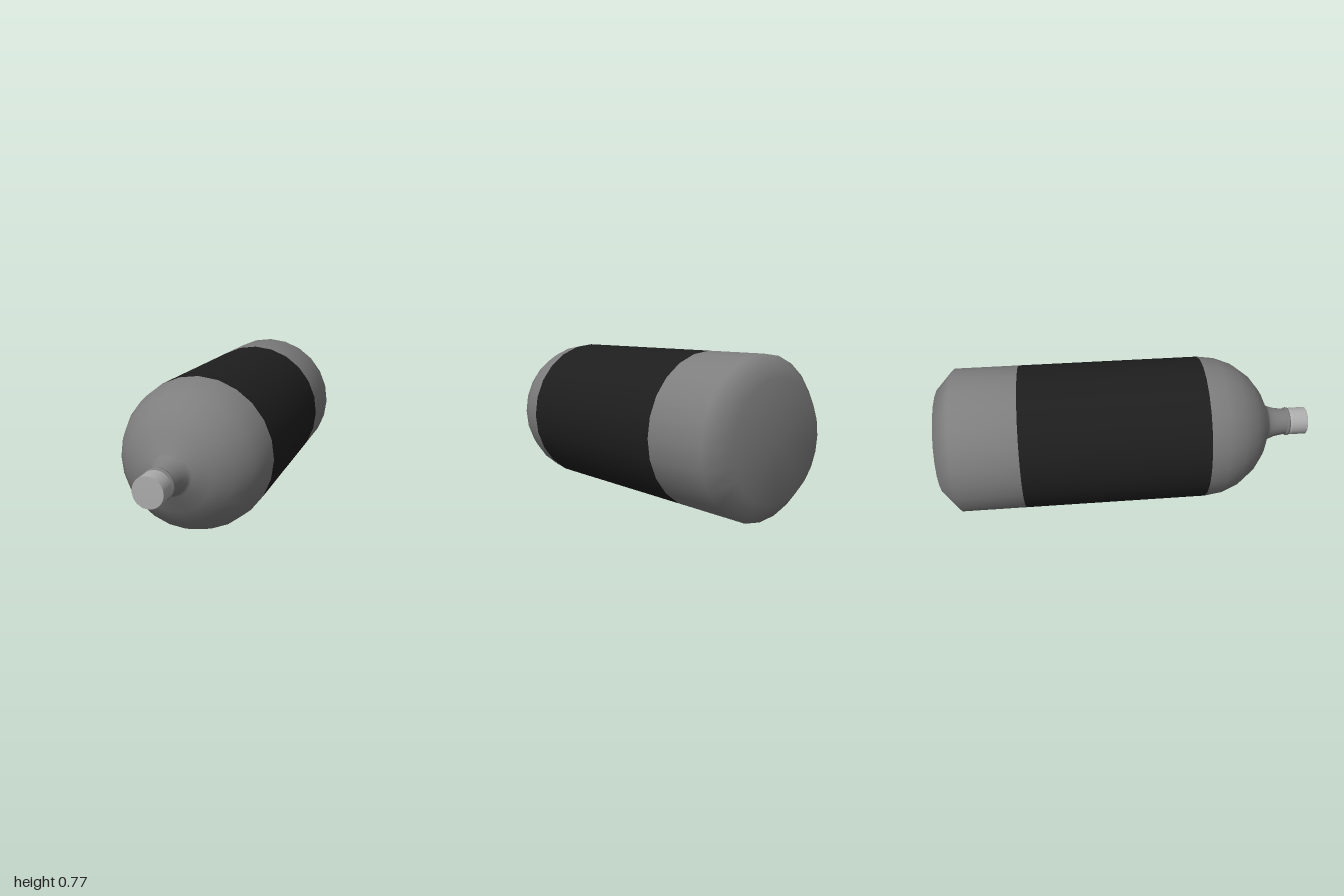
import * as THREE from 'three';

const RADIUS = 0.386;
const BODY_GREY = 0x7e7e7e;
const CAP_GREY = 0xacacac;
const LABEL_BLACK = 0x1e1e1e;

export function createModel() {
  const bottle = new THREE.Group();
  bottle.name = 'bottle';

  // Revolve a [radius, z] profile (back to front) around the z axis
  function addRevolved(name, profile, color, sides = 24) {
    const points = profile.map(([r, z]) => new THREE.Vector2(r, z));
    const geometry = new THREE.LatheGeometry(points, sides).rotateX(Math.PI / 2);
    const material = new THREE.MeshStandardMaterial({ color, side: THREE.DoubleSide });
    const mesh = new THREE.Mesh(geometry, material);
    mesh.name = name;
    bottle.add(mesh);
  }

  // Chamfered base with a flat end
  addRevolved('base', [[0, -1], [0.288, -1], [RADIUS, -0.91], [RADIUS, -0.57]], BODY_GREY);

  // Dark band around the body
  addRevolved('label', [[RADIUS, -0.57], [RADIUS, 0.4]], LABEL_BLACK);

  // Domed shoulder flaring into the neck
  addRevolved('shoulder', [
    [RADIUS, 0.4], [0.373, 0.495], [0.337, 0.585], [0.273, 0.667], [0.192, 0.728],
    [0.105, 0.768], [0.092, 0.785], [0.08, 0.82], [0.072, 0.87], [0.071, 0.89],
  ], BODY_GREY);

  // Raised collar on the neck
  addRevolved('neckRing', [
    [0.068, 0.884], [0.077, 0.886], [0.079, 0.893], [0.077, 0.901], [0.068, 0.903],
  ], BODY_GREY, 32);

  // Closed cap at the front
  addRevolved('cap', [
    [0.068, 0.903], [0.073, 0.91], [0.075, 0.915], [0.075, 0.998], [0.073, 1], [0, 1],
  ], CAP_GREY, 32);

  bottle.position.y = RADIUS;
  const model = new THREE.Group();
  model.add(bottle);
  return model;
}
